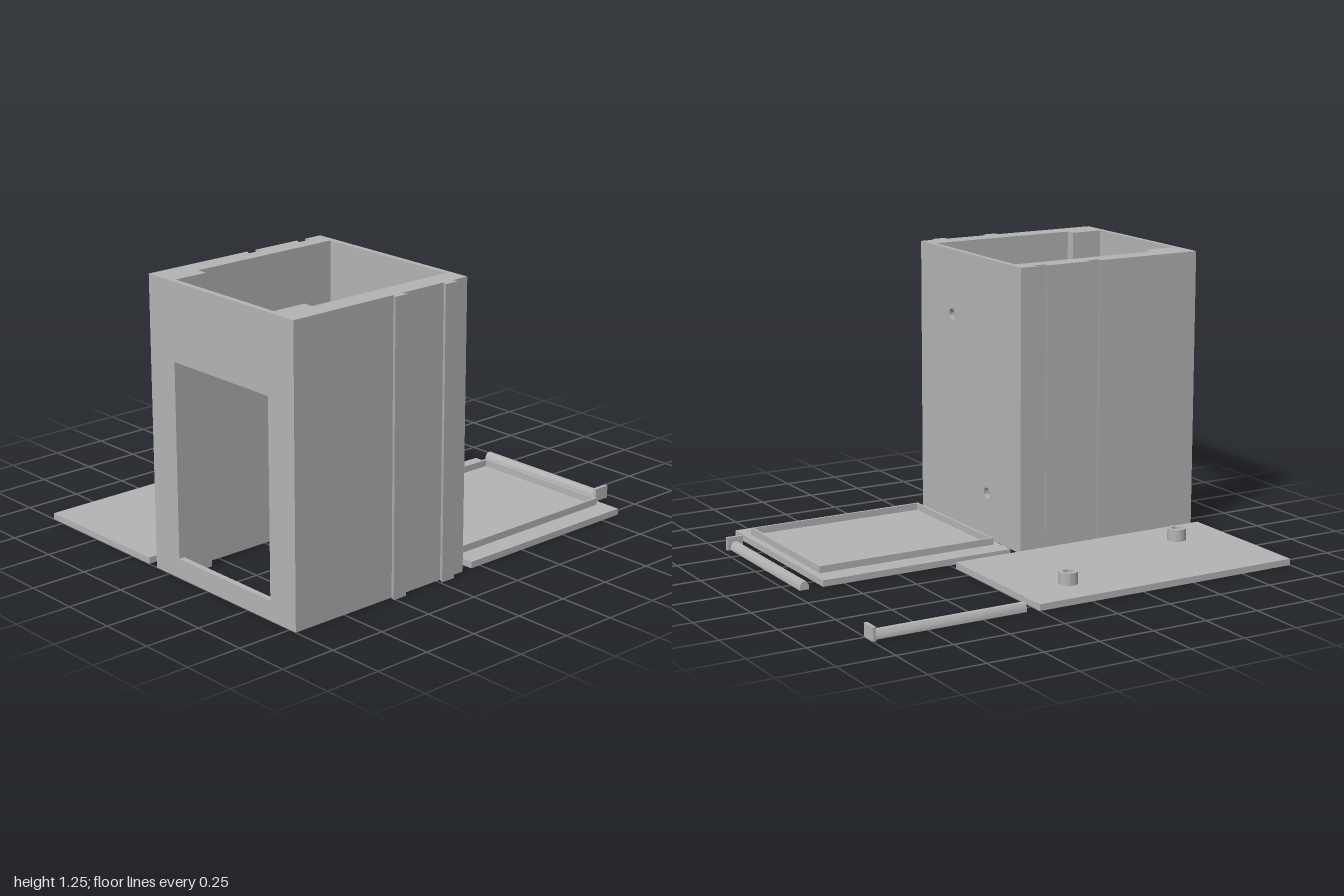
import * as THREE from 'three';
import { toCreasedNormals } from 'three/addons/utils/BufferGeometryUtils.js';

const grey = new THREE.MeshStandardMaterial({ color: 0xb4b4b4 });
grey.name = 'plain grey';

function polygon(points) {
  return new THREE.Shape(points.map(([x, y]) => new THREE.Vector2(x, y)));
}

function rect(x0, x1, y0, y1) {
  return polygon([[x0, y0], [x1, y0], [x1, y1], [x0, y1]]);
}

function circle(x, y, r) {
  const p = new THREE.Path();
  p.absarc(x, y, r, 0, Math.PI * 2, true);
  return p;
}

function extrude(shape, depth) {
  const g = new THREE.ExtrudeGeometry(shape, { depth, bevelEnabled: false, curveSegments: 16 });
  return toCreasedNormals(g, 0.6);
}

function part(name, geometry) {
  const mesh = new THREE.Mesh(geometry, grey);
  mesh.name = name;
  return mesh;
}

// Floor plan given in (x, -z), raised from y0 to y1
function raise(name, shape, y0, y1) {
  return part(name, extrude(shape, y1 - y0).rotateX(-Math.PI / 2).translate(0, y0, 0));
}

// Upright panel given in (x, y), from z0 to z1
function panel(name, shape, z0, z1) {
  return part(name, extrude(shape, z1 - z0).translate(0, 0, z0));
}

const X0 = -0.087, X1 = 0.785, HEIGHT = 1.25;
const RAILS = [0.207, 0.475]; // z centres of the dovetails

function housing() {
  const g = new THREE.Group();
  g.name = 'housing';

  // Side wall plans with front posts: dovetail grooves at -x, tongues at +x
  const dovetail = (x, dx) => RAILS.flatMap((z) => [
    [x, -(z - 0.022)], [x + dx, -(z - 0.034)], [x + dx, -(z + 0.034)], [x, -(z + 0.022)],
  ]);
  const plans = {
    groovedWall: [[X0, -0.125], ...dovetail(X0, 0.026), [X0, -0.975], [0.055, -0.975],
      [0.055, -0.825], [0.005, -0.825], [0.005, -0.125]],
    tonguedWall: [[X1, -0.125], ...dovetail(X1, 0.025), [X1, -0.975], [0.645, -0.975],
      [0.645, -0.825], [0.69, -0.825], [0.69, -0.125]],
  };
  for (const [name, points] of Object.entries(plans)) {
    const x = name === 'groovedWall' ? -0.036 : 0.738;
    const foot = polygon(points);
    // blind pockets in the underside
    foot.holes.push(circle(x, -0.155, 0.02), circle(x, -0.765, 0.02));
    g.add(raise(name + 'Foot', foot, 0, 0.06));
    g.add(raise(name, polygon(points), 0.06, HEIGHT));
  }

  const front = rect(X0, X1, 0, HEIGHT);
  front.holes.push(rect(0.065, 0.635, 0.085, 0.92));
  g.add(panel('windowWall', front, 0.975, 1));

  const back = rect(X0, X1, 0, HEIGHT);
  back.holes.push(circle(0.198, 0.205, 0.025), circle(0.503, 0.958, 0.025));
  g.add(panel('backWall', back, 0.1, 0.125));
  return g;
}

function lid() {
  const g = new THREE.Group();
  g.name = 'lid';
  g.add(raise('lidPlate', rect(X0, X1, -0.05, 0.85), 0, 0.028));
  const rim = rect(0.01, 0.69, -0.022, 0.817);
  rim.holes.push(rect(0.021, 0.679, -0.011, 0.806));
  g.add(raise('lidRim', rim, 0.028, 0.058));
  return g;
}

function mountingPlate() {
  const g = new THREE.Group();
  g.name = 'mountingPlate';
  const plate = rect(-0.815, -0.138, -1, 0.25);
  g.add(plate && null || new THREE.Group());
  g.clear();
  for (const [x, z] of [[-0.63, 0], [-0.325, 0.755]]) {
    plate.holes.push(circle(x, -z, 0.023));
    const ring = new THREE.Shape();
    ring.absarc(x, -z, 0.041, 0, Math.PI * 2);
    ring.holes.push(circle(x, -z, 0.023));
    g.add(raise('hollowPeg', ring, 0.028, 0.08));
  }
  g.add(raise('plate', plate, 0, 0.028));
  return g;
}

// Pin lying along +z with its square head at the -z end
function pin(name) {
  const g = new THREE.Group();
  g.name = name;
  const profile = polygon([[-0.021, 0], [0.021, 0], [0.021, 0.018], [0.009, 0.036],
    [-0.009, 0.036], [-0.021, 0.018]]);
  g.add(panel('pinShaft', profile, 0.015, 0.7));
  g.add(panel('pinHead', rect(-0.037, 0.037, 0, 0.057), 0, 0.015));
  return g;
}

export function createModel() {
  const model = new THREE.Group();
  model.name = 'boxKit';
  const sidePin = pin('sidePin');
  sidePin.position.set(-0.778, 0, -1);
  const backPin = pin('backPin');
  backPin.position.set(0.613, 0, -0.935);
  backPin.rotation.y = -Math.PI / 2;
  model.add(housing(), lid(), mountingPlate(), sidePin, backPin);
  return model;
}
